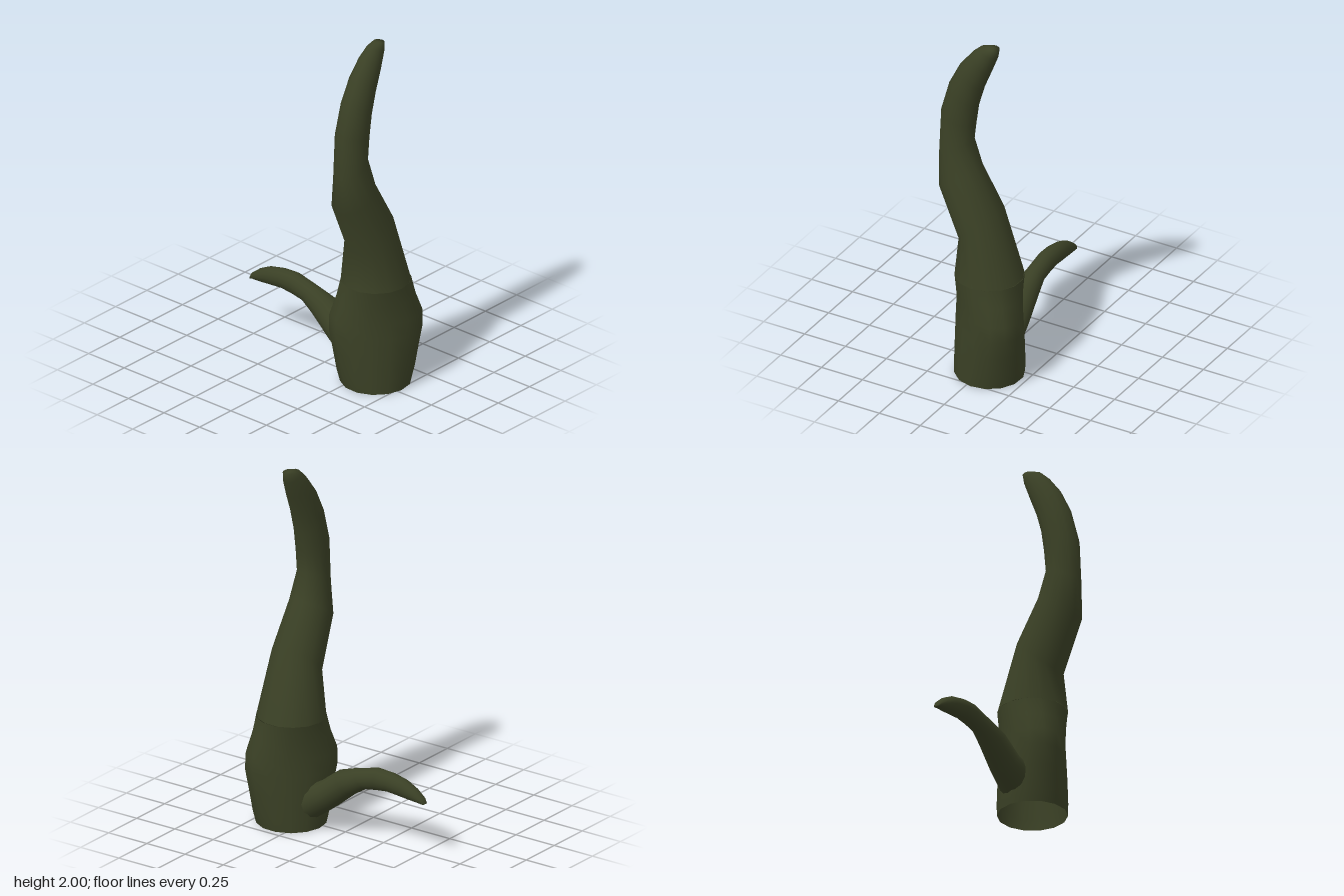
import * as THREE from 'three';

const SIDES = 14;

// Skin a list of elliptical rings {c, u, v}; u x v points along the stem.
function loft(name, rings, material, capEnd) {
  const pos = [], idx = [];
  for (const { c, u, v } of rings) {
    for (let j = 0; j < SIDES; j++) {
      const a = (j / SIDES) * Math.PI * 2;
      const p = c.clone().addScaledVector(u, Math.cos(a)).addScaledVector(v, Math.sin(a));
      pos.push(p.x, p.y, p.z);
    }
  }
  for (let i = 0; i < rings.length - 1; i++) {
    for (let j = 0; j < SIDES; j++) {
      const k = (j + 1) % SIDES, a = i * SIDES, b = a + SIDES;
      idx.push(a + j, a + k, b + j, a + k, b + k, b + j);
    }
  }
  if (capEnd) {
    const last = (rings.length - 1) * SIDES, end = rings[rings.length - 1].c;
    pos.push(end.x, end.y, end.z);
    for (let j = 0; j < SIDES; j++) idx.push(last + j, last + ((j + 1) % SIDES), last + SIDES);
  }
  const geo = new THREE.BufferGeometry();
  geo.setAttribute('position', new THREE.Float32BufferAttribute(pos, 3));
  geo.setIndex(idx);
  geo.computeVertexNormals();
  const mesh = new THREE.Mesh(geo, material);
  mesh.name = name;
  return mesh;
}

// Ring through two opposite edge points, with a half width along the side vector.
function edgeRing(outer, inner, side) {
  return {
    c: outer.clone().add(inner).multiplyScalar(0.5),
    u: side,
    v: inner.clone().sub(outer).multiplyScalar(0.5),
  };
}

export function createModel() {
  const group = new THREE.Group();
  const V = (x, y, z) => new THREE.Vector3(x, y, z);
  const olive = new THREE.MeshStandardMaterial({ color: 0x3a4025, side: THREE.DoubleSide });
  olive.name = 'dark olive';

  // Open base, swelling along one diagonal: y, long radius, short radius
  const ca = Math.cos(0.85), sa = Math.sin(0.85);
  const base = [
    [0, 0.19, 0.188], [0.07, 0.208, 0.188], [0.2, 0.23, 0.182], [0.31, 0.25, 0.175],
    [0.4, 0.248, 0.17], [0.5, 0.212, 0.175], [0.6, 0.188, 0.186],
  ].map(([y, l, s]) => ({
    c: V(0.33, y, -0.033),
    u: V(ca * l, 0, -sa * l),
    v: V(-sa * s, 0, -ca * s),
  }));
  group.add(loft('base', base, olive, false));

  // Tall curved stem: front z, y, back z, y, half width
  const stem = [
    [0.156, 0.6, -0.216, 0.6, 0.188],
    [0.13, 0.8, -0.095, 1.0, 0.143],
    [0.26, 1.09, 0.03, 1.23, 0.12],
    [0.265, 1.3, 0.07, 1.38, 0.088],
    [0.255, 1.54, 0.057, 1.49, 0.086],
    [0.205, 1.72, 0.04, 1.61, 0.083],
    [0.14, 1.85, 0.005, 1.73, 0.075],
    [0.07, 1.94, -0.04, 1.84, 0.063],
    [0.02, 1.985, -0.08, 1.94, 0.046],
    [-0.03, 2.0, -0.09, 1.99, 0.03],
  ].map(([fz, fy, bz, by, w]) => edgeRing(V(0.33, fy, fz), V(0.33, by, bz), V(w, 0, 0)));
  group.add(loft('stem', stem, olive, true));

  // Small side branch: top x, y, bottom x, y, half width
  const branch = [
    [0.26, 0.24, 0.19, 0.03, 0.11],
    [0.13, 0.275, 0.03, 0.15, 0.088],
    [0.02, 0.36, -0.09, 0.25, 0.073],
    [-0.1, 0.4, -0.17, 0.3, 0.053],
    [-0.24, 0.435, -0.24, 0.312, 0.051],
    [-0.33, 0.43, -0.31, 0.32, 0.05],
    [-0.42, 0.41, -0.39, 0.313, 0.045],
    [-0.49, 0.375, -0.45, 0.308, 0.038],
    [-0.54, 0.335, -0.51, 0.304, 0.027],
    [-0.552, 0.306, -0.54, 0.303, 0.018],
  ].map(([tx, ty, bx, by, w]) => edgeRing(V(tx, ty, -0.037), V(bx, by, -0.037), V(0, 0, -w)));
  // Reverse the side vector so the skin faces outward along -x
  const mesh = loft('sideBranch', branch, olive, true);
  group.add(mesh);

  return group;
}
